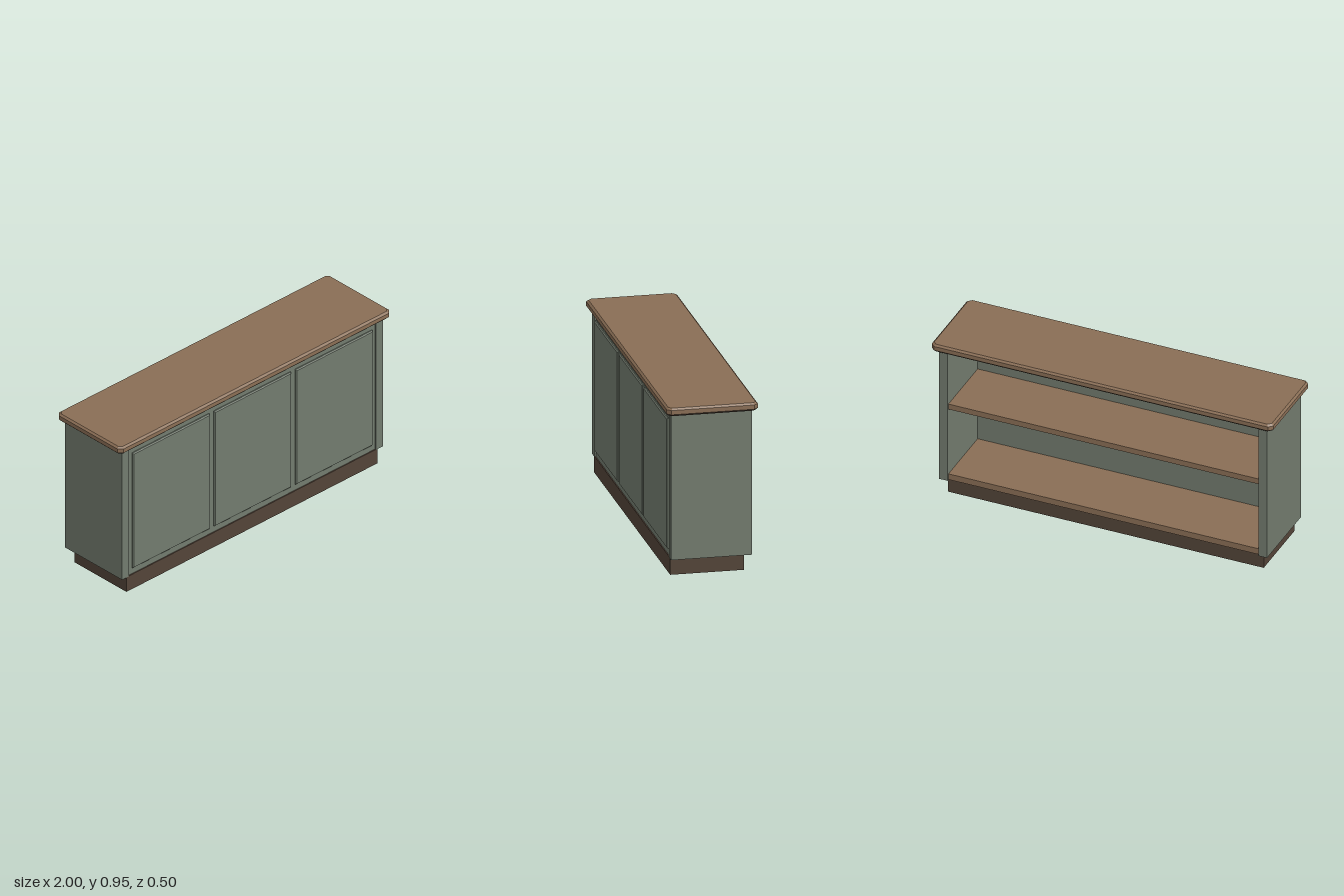
import * as THREE from 'three';

const wood = new THREE.MeshStandardMaterial({ color: 0x8a6e55 });
wood.name = 'warm wood';
const sage = new THREE.MeshStandardMaterial({ color: 0x727b6e });
sage.name = 'sage paint';
const dark = new THREE.MeshStandardMaterial({ color: 0x534438 });
dark.name = 'dark wood';

// Rectangle outline with cut corners
function cutRect(hx, hz, cut) {
  return [
    [hx, hz - cut], [hx - cut, hz], [-hx + cut, hz], [-hx, hz - cut],
    [-hx, -hz + cut], [-hx + cut, -hz], [hx - cut, -hz], [hx, -hz + cut],
  ];
}

// Flat-faced solid through stacked outlines, from bottom to top
function loft(levels, capBottom, capTop) {
  const pos = [];
  const rings = levels.map(([y, hx, hz, cut]) =>
    cutRect(hx, hz, cut).map(([x, z]) => [x, y, z]));
  const n = rings[0].length;
  for (let r = 0; r < rings.length - 1; r++) {
    const lo = rings[r], hi = rings[r + 1];
    for (let i = 0; i < n; i++) {
      const j = (i + 1) % n;
      pos.push(...lo[i], ...hi[i], ...hi[j], ...lo[i], ...hi[j], ...lo[j]);
    }
  }
  const bottom = rings[0], top = rings[rings.length - 1];
  for (let i = 1; i < n - 1; i++) {
    if (capBottom) pos.push(...bottom[0], ...bottom[i], ...bottom[i + 1]);
    if (capTop) pos.push(...top[0], ...top[i + 1], ...top[i]);
  }
  const geo = new THREE.BufferGeometry();
  geo.setAttribute('position', new THREE.Float32BufferAttribute(pos, 3));
  geo.computeVertexNormals();
  return geo;
}

export function createModel() {
  const model = new THREE.Group();
  model.name = 'counter';

  const add = (name, geo, material) => {
    const mesh = new THREE.Mesh(geo, material);
    mesh.name = name;
    model.add(mesh);
    return mesh;
  };
  // Box given by its lower and upper corners
  const box = (name, material, [x0, y0, z0], [x1, y1, z1]) => {
    const mesh = add(name, new THREE.BoxGeometry(x1 - x0, y1 - y0, z1 - z0), material);
    mesh.position.set((x0 + x1) / 2, (y0 + y1) / 2, (z0 + z1) / 2);
    return mesh;
  };

  // Base
  box('plinth', dark, [-0.925, 0, -0.185], [0.925, 0.093, 0.218]);

  // Carcass: side panels and a slightly recessed front
  for (const [name, s] of [['leftSide', 1], ['rightSide', -1]]) {
    const side = box(name, sage, [0.91, 0.093, -0.221], [0.96, 0.911, 0.221]);
    side.position.x *= s;
  }
  box('frontPanel', sage, [-0.91, 0.093, 0.17], [0.91, 0.911, 0.212]);

  // Open shelves at the back
  box('bottomShelf', wood, [-0.91, 0.096, -0.212], [0.91, 0.132, 0.17]);
  box('middleShelf', wood, [-0.91, 0.542, -0.212], [0.91, 0.575, 0.17]);

  // Three raised door panels with bevelled edges
  const bevel = 0.006, w = 0.567, h = 0.73;
  const outline = new THREE.Shape();
  const a = w / 2 - bevel, b = h / 2 - bevel;
  outline.moveTo(-a, -b).lineTo(a, -b).lineTo(a, b).lineTo(-a, b).closePath();
  const doorGeo = new THREE.ExtrudeGeometry(outline, {
    depth: 0.006, bevelEnabled: true, bevelSize: bevel, bevelThickness: bevel, bevelSegments: 1,
  });
  for (let i = -1; i <= 1; i++) {
    add('doorPanel', doorGeo, sage).position.set(i * 0.6, 0.5, 0.216);
  }

  // Worktop with cut corners and chamfered edges
  add('worktop', loft([
    [0.921, 1, 0.25, 0.022],
    [0.945, 1, 0.25, 0.022],
    [0.955, 0.989, 0.239, 0.018],
  ], false, true), wood);
  add('worktopUnderside', loft([
    [0.91, 0.989, 0.239, 0.018],
    [0.921, 1, 0.25, 0.022],
  ], true, false), dark);

  return model;
}
